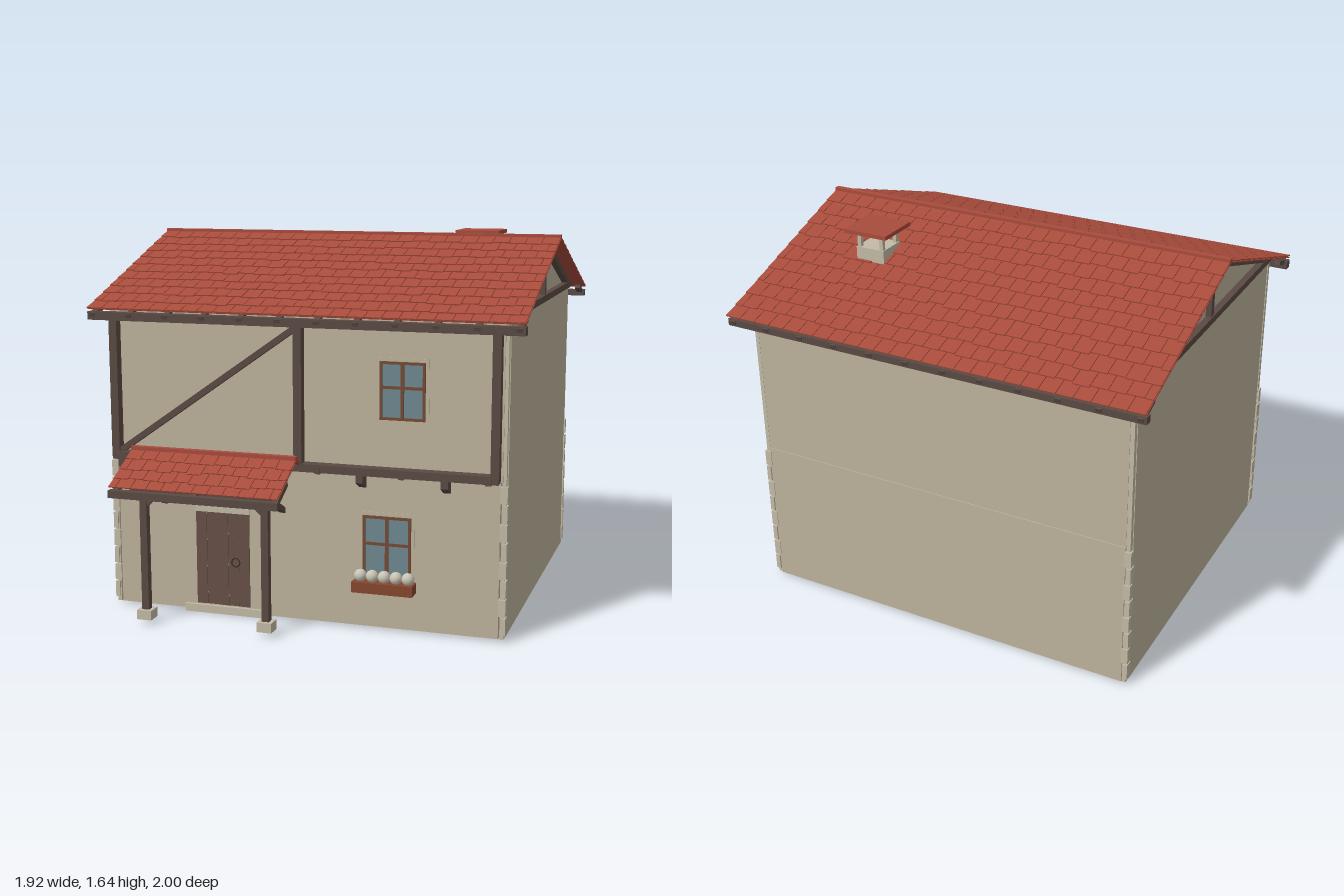
import * as THREE from 'three';
import { mergeGeometries } from 'three/addons/utils/BufferGeometryUtils.js';

const mat = (name, color, side = THREE.FrontSide) => {
  const m = new THREE.MeshStandardMaterial({ color, side });
  m.name = name;
  return m;
};

export function createModel() {
  const house = new THREE.Group();
  house.name = 'house';
  const plaster = mat('plaster', 0xbdb39c);
  const stone = mat('stone', 0xc3baa5);
  const timber = mat('darkTimber', 0x5a4a43);
  const doorWood = mat('doorWood', 0x665046);
  const tile = mat('roofTile', 0xa84c3c, THREE.DoubleSide);
  const frameWood = mat('windowWood', 0x754a34);
  const glass = mat('glass', 0x6f8890);
  const iron = mat('iron', 0x38302d);
  const boxWood = mat('planterWood', 0x85472f);
  const petal = mat('petal', 0xcbc6b6);

  let seed = 7;
  const rand = () => (seed = (seed * 16807) % 2147483647) / 2147483647;

  const add = (name, geo, material, parent = house) => {
    const m = new THREE.Mesh(geo, material);
    m.name = name;
    parent.add(m);
    return m;
  };
  // Box given by its minimum and maximum on each axis
  const block = (name, x0, x1, y0, y1, z0, z1, material, parent) => {
    const m = add(name, new THREE.BoxGeometry(x1 - x0, y1 - y0, z1 - z0), material, parent);
    m.position.set((x0 + x1) / 2, (y0 + y1) / 2, (z0 + z1) / 2);
    return m;
  };
  // Square beam running between two points
  const beam = (name, a, b, w = 0.03, h = w, material = timber) => {
    const p = new THREE.Vector3(...a), q = new THREE.Vector3(...b);
    const m = add(name, new THREE.BoxGeometry(w, h, p.distanceTo(q)), material);
    m.position.copy(p).add(q).multiplyScalar(0.5);
    m.lookAt(q);
    return m;
  };

  // Walls: core, front and back leaves, and the gable prism
  block('wallCore', -0.885, 0.885, 0.01, 1.345, -0.89, 0.615, plaster);
  block('frontWallLower', -0.86, 0.86, 0.01, 0.68, 0.6, 0.65, plaster);
  block('frontWallUpper', -0.87, 0.87, 0.68, 1.335, 0.6, 0.655, plaster);
  block('backWallLower', -0.865, 0.865, 0.01, 0.68, -0.92, -0.88, plaster);
  block('backWallUpper', -0.865, 0.865, 0.68, 1.335, -0.916, -0.88, plaster);
  const gable = new THREE.Shape([[-0.62, 1.34], [0.89, 1.34], [0.89, 1.355], [0.1425, 1.6], [-0.62, 1.355]]
    .map(([x, y]) => new THREE.Vector2(x, y)));
  const gableGeo = new THREE.ExtrudeGeometry(gable, { depth: 1.74, bevelEnabled: false });
  gableGeo.translate(0, 0, -0.87).rotateY(Math.PI / 2);
  add('gableWall', gableGeo, plaster);

  // Corner strips above and alternating quoins below
  for (const s of [-1, 1]) {
    for (const [front, z] of [[1, 0.655], [-1, -0.92]]) {
      const corner = new THREE.Group();
      corner.name = 'cornerStones';
      house.add(corner);
      const put = (name, y0, y1, lx, lz, out) => {
        const xa = s * (0.888 + out), xb = s * (0.888 - lx), za = z + front * out, zb = z - front * lz;
        block(name, Math.min(xa, xb), Math.max(xa, xb), y0, y1, Math.min(za, zb), Math.max(za, zb), stone, corner);
      };
      put('cornerStrip', 0.01, 1.335, 0.022, 0.025, -0.004);
      for (let i = 0; i < 8; i++) {
        const y = 0.03 + i * 0.08;
        put('quoin', y, y + 0.072, i % 2 ? 0.028 : 0.018, i % 2 ? 0.022 : 0.035, 0.003);
      }
    }
  }

  // One tiled slope between a ridge line and an eave line, each given as [y, z]
  const slope = (name, x0, x1, ridge, eave, rows, cols) => {
    const dir = new THREE.Vector3(0, eave[0] - ridge[0], eave[1] - ridge[1]);
    const len = dir.length();
    dir.normalize();
    const normal = new THREE.Vector3(0, Math.abs(dir.z), -dir.y * Math.sign(dir.z));
    const across = new THREE.Vector3().crossVectors(normal, dir);
    const basis = new THREE.Matrix4().makeBasis(across, normal, dir)
      .setPosition((x0 + x1) / 2, ridge[0], ridge[1]);
    const width = x1 - x0, w = width / cols, step = len / rows;
    const parts = [new THREE.BoxGeometry(width, 0.004, len - 0.01).translate(0, -0.008, len / 2)];
    for (let r = 0; r < rows; r++) {
      const shift = r % 2 ? w / 2 : 0;
      for (let c = 0; c <= cols; c++) {
        const a = Math.max(-width / 2, -width / 2 + c * w - shift);
        const b = Math.min(width / 2, -width / 2 + (c + 1) * w - shift);
        if (b - a < 0.01) continue;
        const end = r === rows - 1 ? 0 : rand() * 0.016;
        const l = step + 0.004 + end;
        const g = new THREE.BoxGeometry(b - a - 0.003, 0.005, l);
        g.translate(0, 0, l / 2).rotateX(-0.06).translate((a + b) / 2, -0.004, r * step);
        parts.push(g);
      }
    }
    add(name, mergeGeometries(parts).applyMatrix4(basis), tile);
  };

  // Main roof
  const RZ = -0.1425;
  slope('frontRoof', -0.96, 0.96, [1.637, RZ], [1.345, 0.715], 11, 26);
  slope('backRoof', -0.96, 0.96, [1.637, RZ], [1.345, -1.0], 11, 26);
  block('ridgeCap', -0.96, 0.96, 1.622, 1.645, RZ - 0.013, RZ + 0.013, tile);
  block('frontEaveBeam', -0.96, 0.96, 1.292, 1.328, 0.672, 0.712, timber);
  block('backEaveBeam', -0.96, 0.96, 1.295, 1.325, -0.99, -0.955, timber);
  for (let i = 0; i < 12; i++) {
    const x = -0.935 + i * 0.17;
    beam('rafterTail', [x, 1.348, 0.6], [x, 1.312, 0.714], 0.026, 0.02);
    beam('rafterTail', [x, 1.348, -0.885], [x, 1.31, -0.993], 0.026, 0.02);
  }

  // Timber truss on each gable
  for (const s of [-1, 1]) {
    const x = s * 0.88;
    block('tieBeam', x - 0.02, x + 0.02, 1.345, 1.375, -0.89, 0.615, timber);
    block('kingPost', x - 0.015, x + 0.015, 1.37, 1.615, RZ - 0.015, RZ + 0.015, timber);
    beam('trussRafter', [x, 1.355, 0.615], [x, 1.61, RZ], 0.036, 0.03);
    beam('trussRafter', [x, 1.355, -0.89], [x, 1.61, RZ], 0.036, 0.03);
  }

  // Chimney with open pillars and a tile cap
  const cx = 0.525, cz = -0.475;
  block('chimneyStack', cx - 0.068, cx + 0.068, 1.42, 1.56, cz - 0.066, cz + 0.066, stone);
  for (const sx of [-1, 1]) for (const sz of [-1, 1]) {
    const px = cx + sx * 0.055, pz = cz + sz * 0.053;
    block('chimneyPillar', px - 0.009, px + 0.009, 1.56, 1.63, pz - 0.009, pz + 0.009, stone);
  }
  block('chimneyCap', cx - 0.104, cx + 0.104, 1.627, 1.645, cz - 0.1, cz + 0.1, tile);

  // Timber frame of the upper storey
  for (const x of [-0.845, 0, 0.845]) block('upperPost', x - 0.018, x + 0.018, 0.69, 1.3, 0.665, 0.706, timber);
  beam('diagonalBrace', [-0.83, 0.715, 0.683], [-0.01, 1.29, 0.683], 0.034, 0.026);
  block('storeyBeam', -0.86, 0.86, 0.68, 0.714, 0.65, 0.708, timber);
  for (let i = 0; i < 6; i++) {
    const x = -0.82 + i * 0.364;
    if (i < 5) {
      block('joistEnd', x - 0.016, x + 0.016, 0.65, 0.682, 0.65, 0.705, timber);
      beam('bracket', [x, 0.63, 0.645], [x, 0.66, 0.7], 0.032, 0.026);
    }
    const px = x + 0.182;
    if (px < 0.86) block('joistPeg', px - 0.011, px + 0.011, 0.676, 0.706, 0.7, 0.714, timber);
  }
  block('joistPeg', 0.81, 0.832, 0.676, 0.706, 0.7, 0.714, timber);

  // Windows: thin surround, glass, frame and crossbars
  const windowUnit = (x, y, w, h, z) => {
    const g = new THREE.Group();
    g.name = 'window';
    g.position.set(x, y, z);
    house.add(g);
    const a = w / 2, b = h / 2, t = 0.011;
    block('surround', -a - 0.015, a + 0.015, -b - 0.01, b + 0.015, -0.01, 0.003, plaster, g);
    block('glass', -a, a, -b, b, -0.004, 0.005, glass, g);
    for (const s of [-1, 1]) {
      block('frameSide', s * (a - t / 2) - t / 2, s * (a - t / 2) + t / 2, -b, b, 0, 0.012, frameWood, g);
      block('frameRail', -a, a, s * (b - t / 2) - t / 2, s * (b - t / 2) + t / 2, 0, 0.012, frameWood, g);
    }
    block('mullion', -0.007, 0.007, -b, b, 0, 0.013, frameWood, g);
    block('crossbar', -a, a, 0.008, 0.02, 0, 0.011, frameWood, g);
  };
  windowUnit(0.445, 1.038, 0.195, 0.245, 0.655);
  windowUnit(0.38, 0.365, 0.21, 0.27, 0.65);

  // Planter with a row of blossoms
  block('planter', 0.245, 0.51, 0.18, 0.225, 0.66, 0.73, boxWood);
  for (const x of [0.285, 0.475]) beam('planterBracket', [x, 0.165, 0.655], [x, 0.178, 0.7], 0.016, 0.016, boxWood);
  for (let i = 0; i < 5; i++) {
    const f = add('flower', new THREE.IcosahedronGeometry(0.028, 1), petal);
    f.position.set(0.275 + i * 0.052, 0.247, 0.694);
    f.rotation.set(i, i * 2, 0);
  }

  // Plank door, surround, step and ring handle
  block('doorSurround', -0.545, -0.18, 0.03, 0.535, 0.64, 0.654, plaster);
  block('doorLintel', -0.49, -0.24, 0.46, 0.485, 0.64, 0.662, stone);
  block('doorStep', -0.545, -0.185, 0, 0.035, 0.6, 0.668, stone);
  for (let i = 0; i < 5; i++) {
    const x = -0.49 + i * 0.05;
    block('doorPlank', x, x + 0.049, 0.04, 0.46, 0.65, i % 2 ? 0.656 : 0.658, doorWood);
  }
  const ring = add('doorRing', new THREE.TorusGeometry(0.019, 0.003, 6, 18), iron);
  ring.position.set(-0.305, 0.24, 0.661);

  // Porch: tiled roof, eave beam, rafters, posts and braces
  slope('porchFrontRoof', -0.74, 0.015, [0.747, 0.757], [0.628, 0.992], 4, 11);
  slope('porchBackRoof', -0.74, 0.015, [0.747, 0.757], [0.7, 0.665], 2, 11);
  block('porchRidge', -0.74, 0.015, 0.732, 0.756, 0.743, 0.77, tile);
  block('porchEaveBeam', -0.74, 0.015, 0.58, 0.612, 0.968, 1.0, timber);
  for (const x of [-0.72, -0.365, -0.005]) beam('porchRafter', [x, 0.592, 0.985], [x, 0.66, 0.85], 0.026, 0.022);
  block('porchPlate', -0.7, -0.03, 0.578, 0.606, 0.845, 0.875, timber);
  for (const [x, s] of [[-0.64, 1], [-0.088, -1]]) {
    block('porchPost', x - 0.016, x + 0.016, 0.06, 0.61, 0.844, 0.876, timber);
    block('postStone', x - 0.033, x + 0.033, 0.02, 0.062, 0.827, 0.893, stone);
    beam('wallBrace', [x, 0.597, 0.85], [x, 0.49, 0.648], 0.026, 0.022);
    beam('kneeBrace', [x, 0.515, 0.86], [x + s * 0.07, 0.583, 0.86], 0.02, 0.018);
  }
  return house;
}
